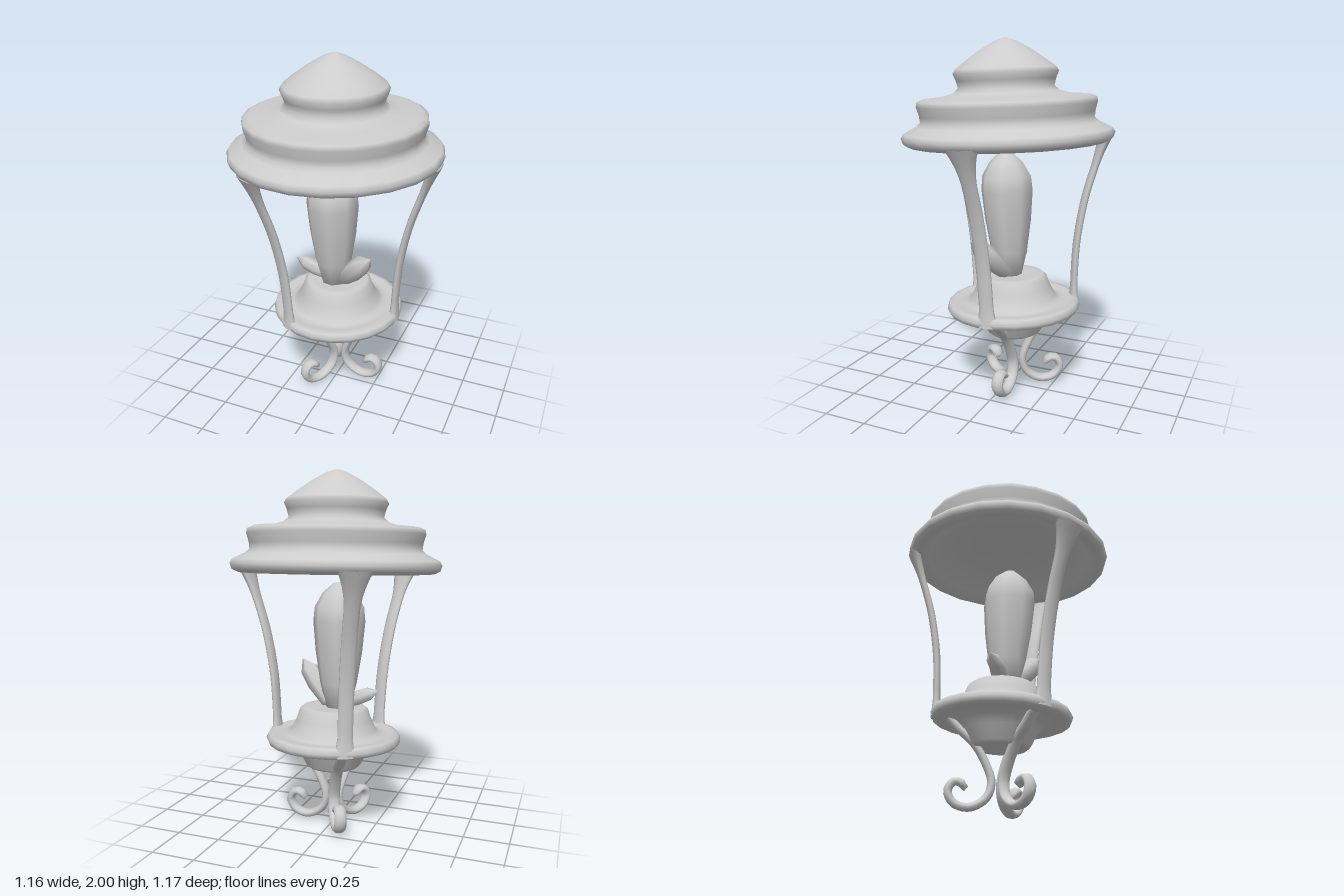
import * as THREE from 'three';

const material = new THREE.MeshStandardMaterial({ color: 0xcccccc, side: THREE.DoubleSide });

function addMesh(parent, name, geometry) {
  const mesh = new THREE.Mesh(geometry, material);
  mesh.name = name;
  parent.add(mesh);
  return mesh;
}

// Turned part from [radius, height] pairs
function turned(profile, sides) {
  return new THREE.LatheGeometry(profile.map(([r, y]) => new THREE.Vector2(r, y)), sides);
}

// Bar swept along a path in the xy plane; size(t) gives [radial, sideways] half widths
function sweptBar(points, size, steps, sides = 10) {
  const curve = new THREE.CatmullRomCurve3(points.map(([x, y]) => new THREE.Vector3(x, y, 0)));
  const positions = [], index = [];
  for (let i = 0; i <= steps; i++) {
    const t = i / steps;
    const p = curve.getPointAt(t), d = curve.getTangentAt(t);
    const [a, b] = size(t);
    for (let j = 0; j < sides; j++) {
      const f = (j / sides) * Math.PI * 2;
      const n = a * Math.cos(f);
      positions.push(p.x + d.y * n, p.y - d.x * n, b * Math.sin(f));
      if (i < steps) {
        const k = (j + 1) % sides, r = i * sides, s = r + sides;
        index.push(r + j, s + j, r + k, s + j, s + k, r + k);
      }
    }
  }
  const geometry = new THREE.BufferGeometry();
  geometry.setAttribute('position', new THREE.Float32BufferAttribute(positions, 3));
  geometry.setIndex(index);
  geometry.computeVertexNormals();
  return geometry;
}

// Pointed crystal leaning from one point to another
function addCrystal(parent, name, from, to, radius) {
  const a = new THREE.Vector3(...from), b = new THREE.Vector3(...to);
  const dir = b.clone().sub(a), h = dir.length();
  const profile = [[0, 0], [radius * 0.7, 0.02], [radius, h * 0.45], [radius * 0.9, h * 0.75], [0, h]];
  const mesh = addMesh(parent, name, turned(profile, 6));
  mesh.position.copy(a);
  mesh.quaternion.setFromUnitVectors(new THREE.Vector3(0, 1, 0), dir.normalize());
}

export function createModel() {
  const model = new THREE.Group();
  model.name = 'lantern';

  // The whole lantern leans slightly forward
  const lantern = new THREE.Group();
  lantern.name = 'leaningLantern';
  lantern.rotation.x = 0.038;
  lantern.position.z = -0.055;
  model.add(lantern);

  // Hollow tiered roof: inside, rim, two tiers, domed cap
  addMesh(lantern, 'roof', turned([
    [0, 1.63], [0.2, 1.61], [0.37, 1.56], [0.47, 1.48], [0.5, 1.445],
    [0.54, 1.44], [0.572, 1.455], [0.583, 1.485], [0.57, 1.51], [0.5, 1.545],
    [0.475, 1.565], [0.478, 1.6], [0.492, 1.65], [0.488, 1.675], [0.46, 1.688],
    [0.36, 1.695], [0.29, 1.715], [0.262, 1.74], [0.272, 1.78], [0.287, 1.815],
    [0.275, 1.838], [0.22, 1.88], [0.14, 1.935], [0.06, 1.98], [0, 2.0],
  ], 22));

  // Dish with a rounded rim, lower bowl and central pedestal
  addMesh(lantern, 'dish', turned([
    [0, 0.34], [0.14, 0.34], [0.158, 0.355], [0.195, 0.43], [0.225, 0.47],
    [0.3, 0.487], [0.345, 0.475], [0.372, 0.485], [0.382, 0.51], [0.37, 0.537],
    [0.34, 0.545], [0.31, 0.53], [0.27, 0.535], [0.24, 0.56], [0.212, 0.62],
    [0.195, 0.67], [0.175, 0.688], [0.14, 0.685], [0, 0.68],
  ], 22));

  // Three posts and three scrolled legs, evenly spaced around the axis
  const post = sweptBar(
    [[0.35, 0.49], [0.356, 0.62], [0.375, 0.85], [0.425, 1.1], [0.49, 1.3], [0.55, 1.47]],
    (t) => {
      const top = Math.max(0, (t - 0.78) / 0.22) ** 2;
      const foot = Math.max(0, 1 - t / 0.08);
      return [0.02 + 0.016 * top + 0.01 * foot, 0.042 + 0.055 * top + 0.02 * foot];
    }, 20);
  const leg = sweptBar(
    [[0.28, 0.49], [0.22, 0.43], [0.14, 0.36], [0.075, 0.26], [0.04, 0.16], [0.065, 0.08], [0.15, 0.031],
      [0.23, 0.05], [0.262, 0.11], [0.23, 0.158], [0.185, 0.145], [0.178, 0.11]],
    (t) => t === 1 ? [0, 0] : [0.022, 0.034], 40);
  for (let i = 0; i < 3; i++) {
    const turn = (i * Math.PI * 2) / 3;
    addMesh(lantern, 'post', post).rotation.y = turn;
    addMesh(lantern, 'scrolledLeg', leg).rotation.y = turn;
  }

  // Cluster of crystals on the pedestal
  const crystals = new THREE.Group();
  crystals.name = 'crystals';
  lantern.add(crystals);
  const main = addMesh(crystals, 'mainCrystal', turned([
    [0, 0.66], [0.07, 0.68], [0.105, 0.82], [0.133, 1.0], [0.148, 1.17],
    [0.14, 1.25], [0.095, 1.33], [0.035, 1.383], [0, 1.388],
  ], 8));
  main.position.set(-0.015, 0, 0.025);
  main.rotation.y = 0.2;
  addCrystal(crystals, 'tallSideCrystal', [0.03, 0.69, 0.02], [0.25, 0.93, 0.13], 0.06);
  addCrystal(crystals, 'smallSideCrystal', [-0.03, 0.7, 0.02], [-0.25, 0.79, 0.03], 0.045);

  return model;
}
